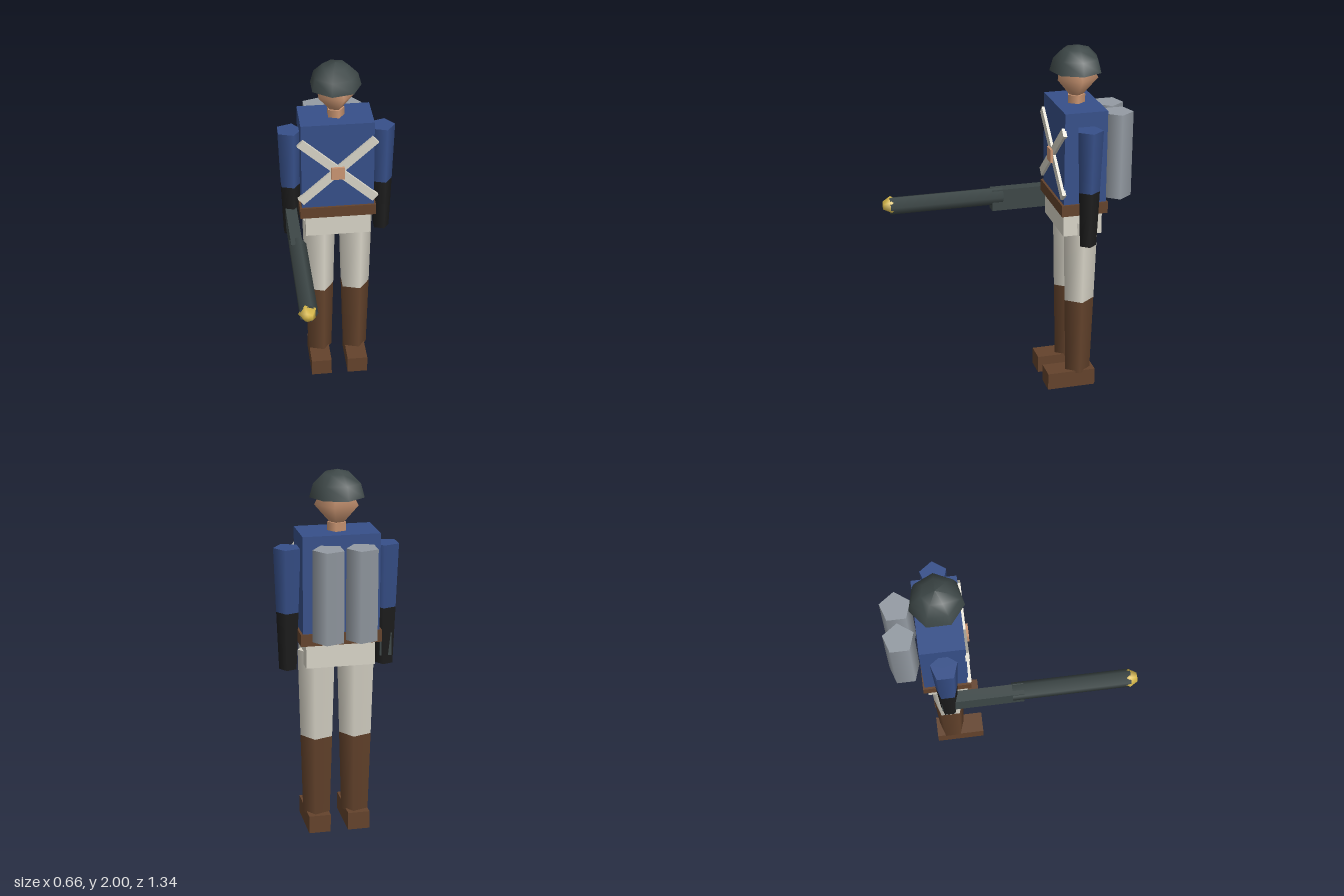
import * as THREE from 'three';

const CX = -0.008, CZ = -0.374; // body axis
const POINT = Math.PI / 2; // first corner of every polygon points to +x

function mat(name, color) {
  const m = new THREE.MeshStandardMaterial({ color });
  m.name = name;
  return m;
}

export function createModel() {
  const root = new THREE.Group();
  root.name = 'soldier';
  const navy = mat('navy cloth', 0x37508a);
  const cream = mat('cream cloth', 0xd9d5c8);
  const brown = mat('brown leather', 0x64432c);
  const skin = mat('skin', 0xcb9673);
  const slate = mat('dark slate metal', 0x3d4747);
  const black = mat('black glove', 0x1e1e1e);
  const steel = mat('grey steel', 0x949ba3);
  const gold = mat('brass', 0xdcbc4c);

  const add = (name, geo, material, x = 0, y = 0, z = 0) => {
    const mesh = new THREE.Mesh(geo, material);
    mesh.name = name;
    mesh.position.set(x, y, z);
    root.add(mesh);
    return mesh;
  };
  const box = (name, material, w, h, d, x, y, z) =>
    add(name, new THREE.BoxGeometry(w, h, d), material, x, y, z);
  // Upright tapered prism from y0 to y1
  const post = (name, material, r0, r1, y0, y1, x, z = CZ, sides = 5) =>
    add(name, new THREE.CylinderGeometry(r1, r0, y1 - y0, sides, 1, false, POINT),
      material, x, (y0 + y1) / 2, z);
  // Turned shape from [radius, height] pairs
  const turned = (pts, sides, start = POINT) =>
    new THREE.LatheGeometry(pts.map(p => new THREE.Vector2(p[0], p[1])), sides, start);

  // Trunk
  box('torso', navy, 0.41, 0.525, 0.24, CX, 1.418, CZ);
  box('belt', brown, 0.433, 0.065, 0.262, CX, 1.127, -0.372);
  box('hips', cream, 0.37, 0.131, 0.22, CX, 1.03, -0.37);

  // Crossed chest straps and buckle
  for (const s of [-1, 1]) {
    const strap = box('chestStrap', cream, 0.565, 0.05, 0.022, CX, 1.394, -0.249);
    strap.rotation.z = s * 0.725;
  }
  box('strapBuckle', skin, 0.075, 0.075, 0.03, CX - 0.002, 1.385, -0.24);

  // Limbs and back tanks, one set per side
  for (const s of [-1, 1]) {
    const side = s > 0 ? 'left' : 'right';
    const legX = CX + s * 0.107, armX = CX + s * 0.262;
    post(side + 'Trouser', cream, 0.0905, 0.104, 0.548, 1.037, legX);
    post(side + 'Boot', brown, 0.077, 0.0905, 0.088, 0.548, legX);
    box(side + 'Foot', brown, 0.12, 0.1, 0.28, CX + s * 0.109, 0.05, -0.328);
    post(side + 'Sleeve', navy, 0.062, 0.075, 1.254, 1.6, armX);
    post(side + 'Glove', black, 0.049, 0.062, 0.937, 1.254, armX);
    post(side + 'Tank', steel, 0.086, 0.086, 1.148, 1.635, CX + s * 0.088, -0.589);
  }

  // Neck, faceted head and helmet
  post('neck', skin, 0.052, 0.052, 1.67, 1.726, CX);
  add('head', turned([[0, 1.714], [0.032, 1.716], [0.121, 1.82], [0.061, 1.924], [0, 1.926]], 5),
    skin, CX, 0, CZ);
  const dome = [];
  for (let i = 0; i <= 3; i++) {
    const a = i * Math.PI / 6;
    dome.push([i === 3 ? 0 : 0.146 * Math.cos(a), 1.858 + 0.142 * Math.sin(a)]);
  }
  add('helmet', turned(dome, 7), slate, CX, 0, CZ);
  const under = add('helmetUnderside', new THREE.CircleGeometry(0.146, 7), slate, CX, 1.858, CZ);
  under.rotation.x = Math.PI / 2;

  // Gun held in the right hand
  box('gunStock', slate, 0.064, 0.126, 0.455, -0.269, 1.047, -0.186);
  const barrel = post('gunBarrel', slate, 0.0525, 0.0525, 0, 0.652, -0.265, 0.304);
  barrel.position.y = 1.069;
  barrel.rotation.x = Math.PI / 2;
  const tip = add('gunMuzzle',
    turned([[0, -0.045], [0.026, -0.043], [0.052, 0], [0.026, 0.043], [0, 0.045]], 5, -POINT),
    gold, -0.267, 1.069, 0.624);
  tip.rotation.x = Math.PI / 2;

  return root;
}
